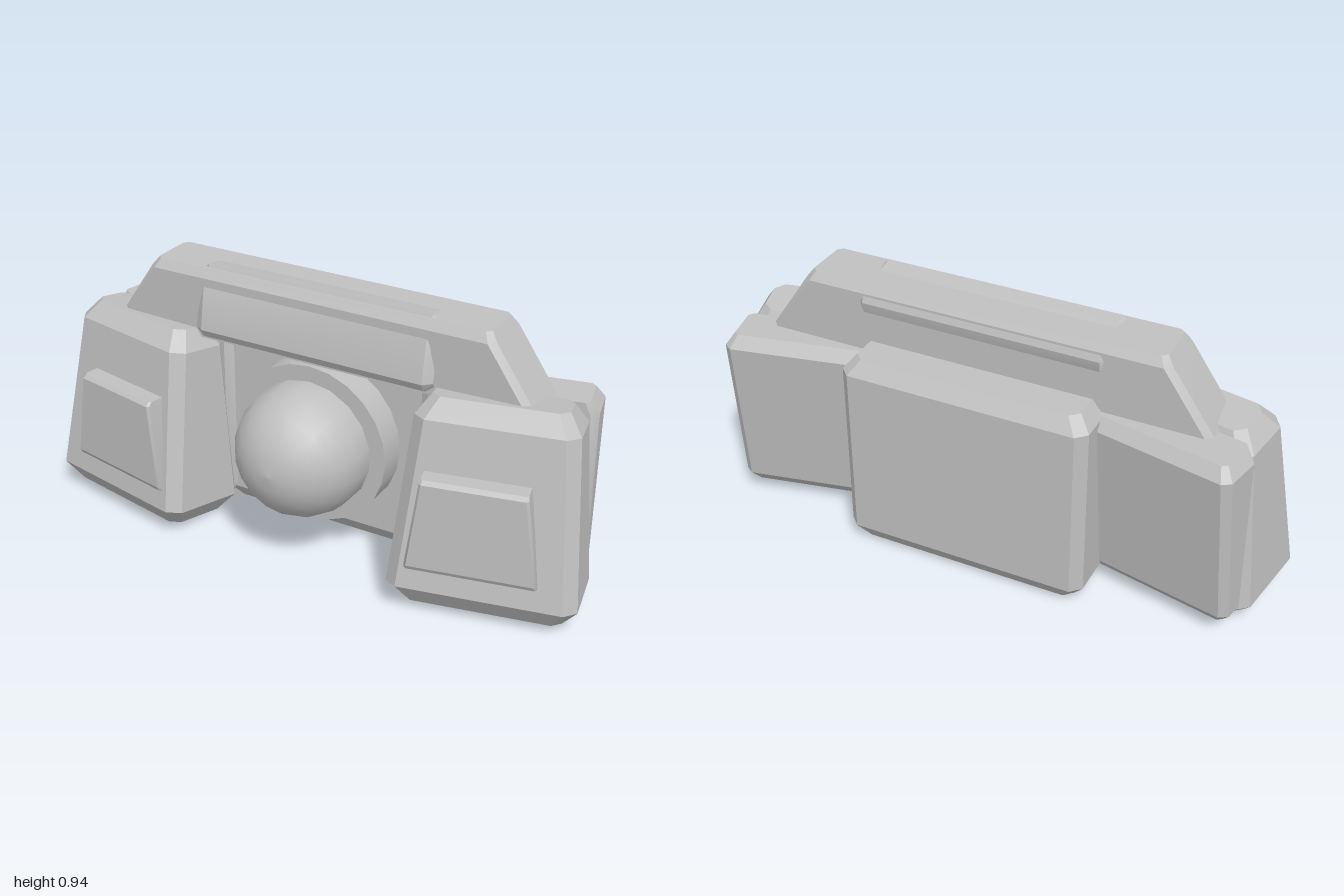
import * as THREE from 'three';
import { toCreasedNormals } from 'three/addons/utils/BufferGeometryUtils.js';

// Chamfered block lofted through levels [y, u0, u1, w0, w1, chamfer].
// place(u, y, w) moves each corner; flip reverses the winding for mirrored copies.
function loft(levels, place = (u, y, w) => [u, y, w], flip = false) {
  const pos = [], idx = [], n = 8, last = (levels.length - 1) * n;
  for (const [y, u0, u1, w0, w1, c] of levels) {
    const ring = [
      [u1 - c, w1], [u1, w1 - c], [u1, w0 + c], [u1 - c, w0],
      [u0 + c, w0], [u0, w0 + c], [u0, w1 - c], [u0 + c, w1],
    ];
    for (const [u, w] of ring) pos.push(...place(u, y, w));
  }
  const tri = (a, b, c) => (flip ? idx.push(a, c, b) : idx.push(a, b, c));
  for (let l = 0; l < last; l += n) {
    for (let i = 0; i < n; i++) {
      const j = (i + 1) % n;
      tri(l + i, l + j, l + n + j);
      tri(l + i, l + n + j, l + n + i);
    }
  }
  for (let i = 1; i < n - 1; i++) {
    tri(0, i + 1, i);
    tri(last, last + i, last + i + 1);
  }
  const g = new THREE.BufferGeometry();
  g.setAttribute('position', new THREE.Float32BufferAttribute(pos, 3));
  g.setIndex(idx);
  return toCreasedNormals(g, 0.5);
}

export function createModel() {
  const group = new THREE.Group();
  const grey = new THREE.MeshStandardMaterial({ color: 0xc0c0c0 });
  grey.name = 'light grey';
  const add = (name, geometry) => {
    const mesh = new THREE.Mesh(geometry, grey);
    mesh.name = name;
    group.add(mesh);
  };

  // Central body
  add('centreBlock', loft([
    [0.02, -0.39, 0.39, -0.285, -0.09, 0.03],
    [0.075, -0.43, 0.43, -0.32, -0.05, 0.035],
    [0.68, -0.43, 0.43, -0.32, -0.05, 0.035],
    [0.73, -0.39, 0.39, -0.285, -0.09, 0.03],
  ]));

  // Round lens and its mounting disc
  const disc = new THREE.CylinderGeometry(0.285, 0.285, 0.11, 24);
  disc.rotateX(Math.PI / 2).translate(0, 0.4, 0);
  add('lensDisc', disc);
  const profile = [new THREE.Vector2(0.23, 0.04)];
  for (let i = 0; i <= 7; i++) {
    const a = (i / 7) * Math.PI / 2;
    profile.push(new THREE.Vector2(0.23 * Math.cos(a), 0.09 + 0.23 * Math.sin(a)));
  }
  const dome = new THREE.LatheGeometry(profile, 18);
  dome.rotateX(Math.PI / 2).translate(0, 0.4, 0);
  add('lensDome', dome);

  // Side pods, turned outwards and mirrored
  const cos = Math.cos(0.21), sin = Math.sin(0.21);
  for (const s of [1, -1]) {
    const side = s > 0 ? 'left' : 'right';
    const turned = (slope) => (u, y, w) =>
      [s * (u * cos + w * sin), y + slope * (w - 0.06), w * cos - u * sin];
    add(side + 'FrontPod', loft([
      [0.0, 0.385, 0.9, 0.08, 0.315, 0.03],
      [0.07, 0.335, 0.949, 0.03, 0.365, 0.04],
      [0.64, 0.385, 0.9, 0.03, 0.265, 0.04],
      [0.705, 0.43, 0.855, 0.065, 0.21, 0.03],
    ], turned(0.14), s < 0));
    add(side + 'FrontPlate', loft([
      [0.185, 0.4, 0.822, 0.2, 0.36, 0.008],
      [0.2, 0.4, 0.822, 0.2, 0.368, 0.008],
      [0.495, 0.438, 0.778, 0.2, 0.362, 0.008],
      [0.508, 0.44, 0.775, 0.2, 0.35, 0.008],
    ], turned(0), s < 0));
    add(side + 'RearPod', loft([
      [0.055, 0.38, 0.9, -0.03, 0.05, 0.015],
      [0.095, 0.36, 0.93, -0.06, 0.05, 0.025],
      [0.65, 0.36, 0.925, -0.125, 0.05, 0.025],
      [0.692, 0.38, 0.895, -0.095, 0.05, 0.015],
    ], turned(0), s < 0));
  }

  // Carrying bar across the top, with sloping ends
  add('topBar', loft([
    [0.685, -0.78, 0.78, -0.17, 0.04, 0.022],
    [0.9, -0.632, 0.632, -0.17, 0.04, 0.022],
    [0.93, -0.61, 0.61, -0.15, 0.02, 0.016],
  ]));

  // Tilted grip core showing through the bar's faces
  const section = new THREE.Shape([
    [0.055, 0.7], [0.068, 0.725], [0.045, 0.86], [0.005, 0.94], [-0.06, 0.93],
    [-0.165, 0.905], [-0.178, 0.87], [-0.165, 0.81], [-0.1, 0.69], [0.03, 0.685],
  ].map(([z, y]) => new THREE.Vector2(-z, y)));
  const grip = new THREE.ExtrudeGeometry(section, {
    depth: 0.82, bevelEnabled: true, bevelThickness: 0.03,
    bevelSize: 0.02, bevelOffset: -0.02, bevelSegments: 1,
  });
  grip.translate(0, 0, -0.41).rotateY(Math.PI / 2);
  add('gripCore', toCreasedNormals(grip, 0.5));

  return group;
}
